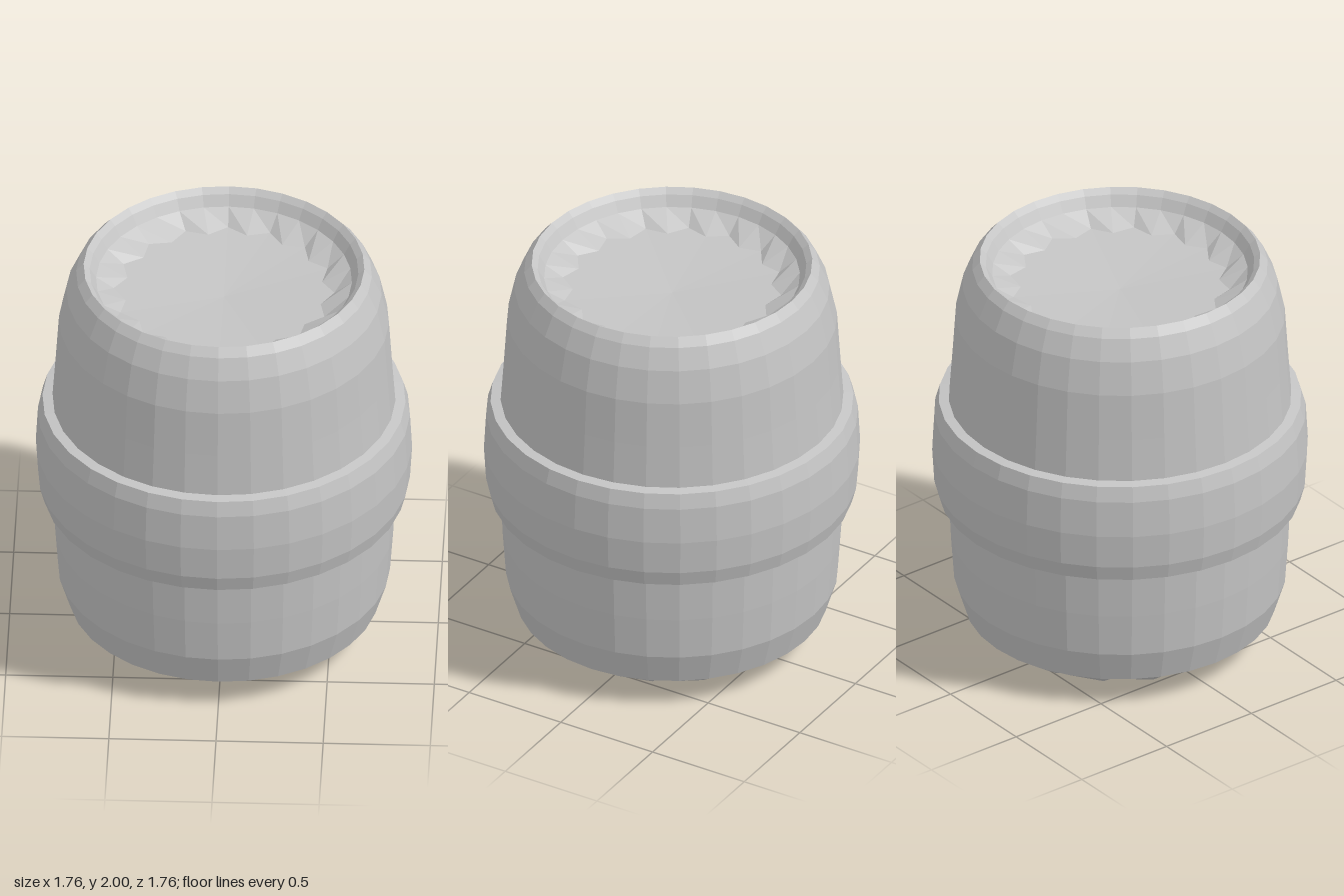
import * as THREE from 'three';

const SEGMENTS = 32;

export function createModel() {
  const grey = new THREE.MeshStandardMaterial({ color: 0xc4c4c4, flatShading: true });
  grey.name = 'grey';
  const model = new THREE.Group();
  model.name = 'barrel';

  // Revolve [radius, height] points; ring "zigzag" has every other vertex pulled inward
  function turned(name, profile, zigzag = -1, inset = 1, lift = 0) {
    const points = profile.map(([r, y]) => new THREE.Vector2(r, y));
    const geometry = new THREE.LatheGeometry(points, SEGMENTS);
    if (zigzag >= 0) {
      const pos = geometry.attributes.position;
      for (let i = 1; i <= SEGMENTS; i += 2) {
        const k = i * profile.length + zigzag;
        pos.setXYZ(k, pos.getX(k) * inset, pos.getY(k) + lift, pos.getZ(k) * inset);
      }
    }
    const mesh = new THREE.Mesh(geometry, grey);
    mesh.name = name;
    model.add(mesh);
  }

  // Bulging wall with its rolled lip
  turned('barrelWall', [
    [0.725, 0.145], [0.775, 0.305], [0.79, 0.52], [0.80, 0.75], [0.805, 1.0], [0.80, 1.26],
    [0.785, 1.47], [0.77, 1.70], [0.735, 1.86], [0.69, 1.96], [0.655, 2.0],
    [0.627, 1.975], [0.597, 1.925],
  ]);

  // Raised hoop around the middle
  turned('middleHoop', [
    [0.79, 0.745], [0.847, 0.752], [0.868, 0.83], [0.878, 1.0], [0.868, 1.18],
    [0.847, 1.252], [0.79, 1.26],
  ]);

  // Shallow pointed base with a scalloped edge
  turned('base', [[0, 0], [0.60, 0.06], [0.725, 0.145]], 1, 0.88, 0.003);

  // Sunken lid with a scalloped edge
  turned('lid', [[0.597, 1.925], [0.515, 1.865], [0, 1.83]], 1, 0.9, -0.003);

  return model;
}
